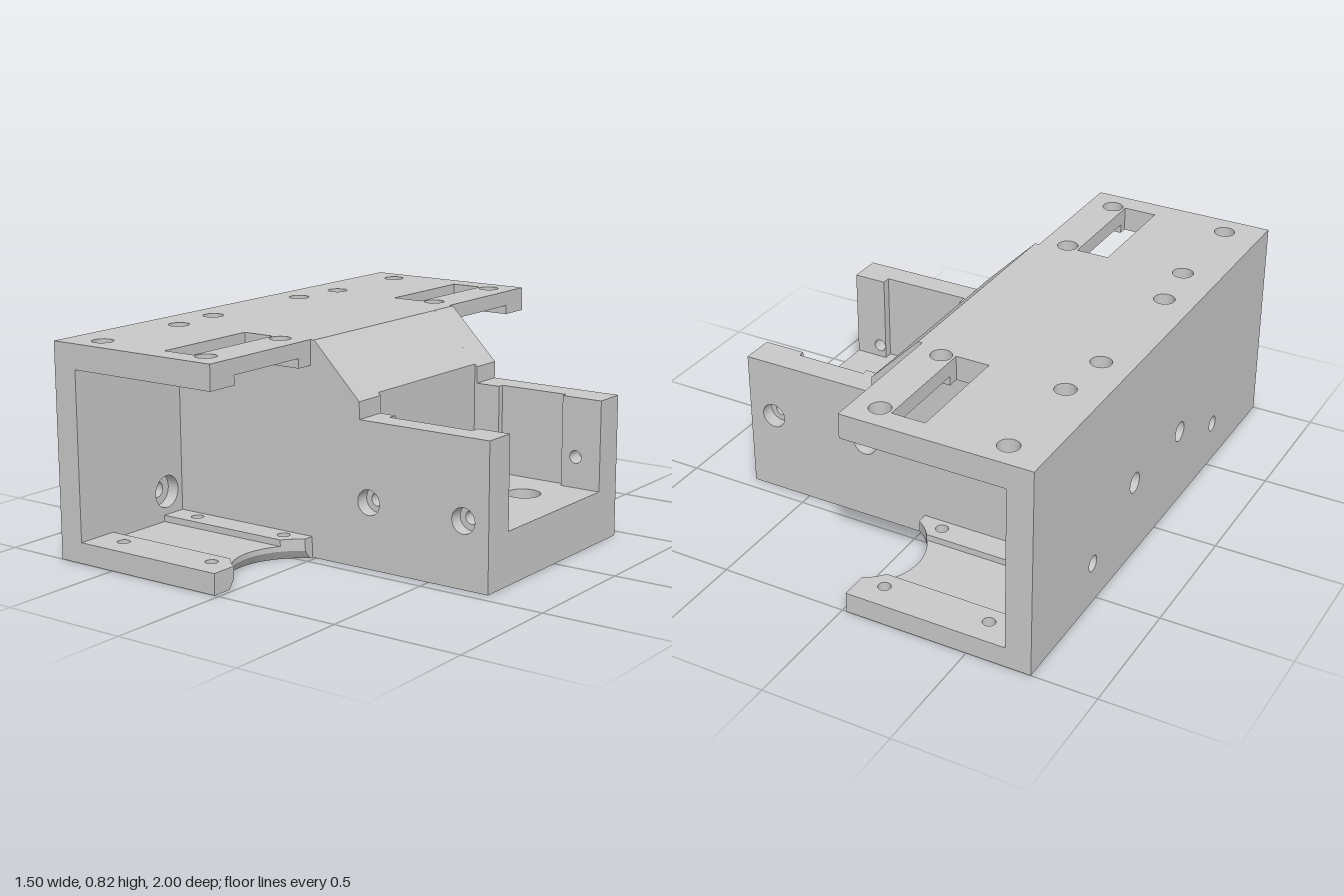
import * as THREE from 'three';

const grey = new THREE.MeshStandardMaterial({ color: 0xc8c8c8 });
grey.name = 'grey plastic';

// plan outlines use (x, z), cross-walls use (z, y), side walls use (x, y);
// a hole is either a circle [u, v, radius] or a list of corners
function slab(name, axis, from, to, outline, holes = []) {
  const su = axis === 'x' ? -1 : 1;
  const sv = axis === 'y' ? -1 : 1;
  const loop = (list) => {
    const pts = list.map(([u, v]) => new THREE.Vector2(u * su, v * sv));
    return THREE.ShapeUtils.isClockWise(pts) ? pts.reverse() : pts;
  };
  const shape = new THREE.Shape(loop(outline));
  for (const h of holes) {
    const path = new THREE.Path();
    if (typeof h[0] === 'number') path.absarc(h[0] * su, h[1] * sv, h[2], 0, Math.PI * 2, false);
    else path.setFromPoints(loop(h));
    shape.holes.push(path);
  }
  const geo = new THREE.ExtrudeGeometry(shape, { depth: to - from, bevelEnabled: false, curveSegments: 16 });
  geo.translate(0, 0, from);
  if (axis === 'y') geo.rotateX(-Math.PI / 2);
  if (axis === 'x') geo.rotateY(Math.PI / 2);
  const mesh = new THREE.Mesh(geo, grey);
  mesh.name = name;
  return mesh;
}

const rect = (u0, u1, v0, v1) => [[u0, v0], [u1, v0], [u1, v1], [u0, v1]];
// closes an outline given for z > 0 by mirroring it in z
const mirrored = (half) => [...half, ...half.map(([x, z]) => [x, -z]).reverse()];
// the same holes at +z and -z
const pairs = (list) => list.flatMap(([x, z, r]) => [[x, z, r], [x, -z, r]]);

const BACK = -0.75, INNER = -0.65, EDGE = -0.017, END = 0.75;
const HALF = 0.449;                 // half width of the centre block and arm
const POCKET = 0.32;                // half width of the arm pocket
const TOP = 0.816, UNDER = 0.721;   // top plate faces
const CX = 0.107, CZ = 0.693;       // centre of the curved cut-outs
const R_LOW = 0.26, R_HIGH = 0.237;

// curved cut-out, walked from the arm outwards; optional channel reaching the back wall
function cutOut(r, channel) {
  const a = Math.acos((CX - EDGE) / r);
  const pts = [];
  for (let i = 0; i <= 20; i++) {
    const t = -a + (2 * a * i) / 20;
    pts.push([CX - r * Math.cos(t), CZ + r * Math.sin(t)]);
  }
  if (!channel) return pts;
  const w = 0.14;
  const x = CX - Math.sqrt(r * r - w * w);
  return [
    ...pts.filter((p) => p[1] < CZ - w), [x, CZ - w], [INNER, CZ - w],
    [INNER, CZ + w], [x, CZ + w], ...pts.filter((p) => p[1] > CZ + w),
  ];
}

const basePlan = (r, channel) => mirrored([
  [END, HALF], [EDGE, HALF], ...cutOut(r, channel), [EDGE, 1], [BACK, 1],
]);

export function createModel() {
  const model = new THREE.Group();
  model.name = 'mountingBracket';
  const add = (...args) => {
    const mesh = slab(...args);
    model.add(mesh);
    return mesh;
  };

  // base plate in layers: flared cut-outs and wide screw recesses below, channels on top
  const screws = (x, r) => pairs([[x, 0.9, r], [x, 0.493, r]]);
  const baseScrews = (r) => [...screws(-0.115, r), ...screws(-0.535, r)];
  const armScrews = (r) => pairs([[0.53, 0.138, r]]);
  const underPocket = rect(-0.155, 0.47, -0.19, 0.19);
  const lower = add('basePlateLower', 'y', 0, 0.035, basePlan(R_LOW),
    [...baseScrews(0.033), ...armScrews(0.03), underPocket]);
  add('basePlateMiddle', 'y', 0.035, 0.055, basePlan(R_HIGH),
    [...baseScrews(0.024), ...armScrews(0.03), underPocket]);
  add('basePlateUpper', 'y', 0.055, 0.08, basePlan(R_HIGH, true),
    [...baseScrews(0.024), ...armScrews(0.03)]);

  // narrow the cut-outs towards the top of the lowest layer
  const pos = lower.geometry.attributes.position;
  const chord = (r) => Math.sqrt(r * r - (CX - EDGE) ** 2);
  const k = chord(R_HIGH) / chord(R_LOW);
  for (let i = 0; i < pos.count; i++) {
    const s = Math.sign(pos.getZ(i));
    const dz = Math.abs(pos.getZ(i)) - CZ;
    if (pos.getY(i) < 0.03 || Math.abs(Math.hypot(pos.getX(i) - CX, dz) - R_LOW) > 1e-4) continue;
    const z = dz * k;
    pos.setX(i, Math.min(EDGE, CX - Math.sqrt(R_HIGH * R_HIGH - z * z)));
    pos.setZ(i, s * (CZ + z));
  }
  lower.geometry.computeVertexNormals();

  // top plate: windows and screw recesses above, wide channels underneath
  const blind = pairs([[-0.63, 0.267, 0.04]]);
  const topScrews = (r) => [...screws(-0.12, r), ...screws(-0.605, r)];
  add('topPlateUpper', 'y', 0.757, TOP, rect(BACK, EDGE, -1, 1), [
    ...topScrews(0.04), ...blind,
    rect(-0.3, -0.17, 0.475, 0.91), rect(-0.3, -0.17, -0.91, -0.475),
  ]);
  const c0 = 0.519, c1 = 0.874;
  add('topPlateLower', 'y', UNDER, 0.757, mirrored([
    [EDGE, c0], [-0.17, c0], [-0.17, 0.475], [-0.3, 0.475], [-0.3, c0], [-0.53, c0],
    [-0.53, c1], [-0.3, c1], [-0.3, 0.91], [-0.17, 0.91], [-0.17, c1], [EDGE, c1],
    [EDGE, 1], [BACK, 1],
  ]), [...topScrews(0.024), ...blind]);

  // back wall with holes recessed from the inside
  const wall = rect(-1, 1, 0.08, UNDER);
  const backHoles = (r) => [[0.535, 0.17, r], [-0.535, 0.17, r], [0.2, 0.315, 0.04], [-0.2, 0.315, 0.04]];
  add('backWallOuter', 'x', BACK, -0.7, wall, backHoles(0.031));
  add('backWallInner', 'x', -0.7, INNER, wall, backHoles(0.063));

  // solid centre block with sloped shoulder; the pocket cuts slightly into its middle
  const core = (front) => [
    [INNER, 0.08], [0.19, 0.08], ...front, [0, TOP], [EDGE, TOP], [EDGE, UNDER], [INNER, UNDER],
  ];
  const shoulder = core([[0.19, 0.55], [0.2, 0.55], [0.2, 0.615]]);
  add('centreBlock', 'z', -POCKET, POCKET, core([[0.19, 0.625]]));
  add('centreBlockFrontSide', 'z', POCKET, HALF, shoulder);
  add('centreBlockBackSide', 'z', -HALF, -POCKET, shoulder);

  // arm floor
  const floor = rect(0.19, END, -HALF, HALF);
  add('armFloorLower', 'y', 0.08, 0.14, floor, armScrews(0.03));
  add('armFloorUpper', 'y', 0.14, 0.2, floor, armScrews(0.065));

  // arm side walls: recessed inner face, bolt holes widened on the outside
  const sides = [
    { name: 'front', s: 1, x0: 0.267, x1: 0.618, z: 0.355, y: 0.25 },
    { name: 'back', s: -1, x0: 0.302, x1: 0.585, z: 0.345, y: 0.32 },
  ];
  for (const { name, s, x0, x1, z, y } of sides) {
    const layer = (part, a, b, u0, u1, holes) =>
      add(name + part, 'z', Math.min(a * s, b * s), Math.max(a * s, b * s), rect(u0, u1, 0.2, 0.55), holes);
    layer('ArmWallOuter', 0.395, HALF, 0.19, END, [[0.24, y, 0.048], [0.645, y, 0.048]]);
    layer('ArmWallMiddle', z, 0.395, 0.19, END, [[0.24, y, 0.025], [0.645, y, 0.025]]);
    layer('ArmWallInnerRib', POCKET, z, 0.19, x0, [[0.24, y, 0.025]]);
    layer('ArmWallEndRib', POCKET, z, x1, END, [[0.645, y, 0.025]]);
  }
  return model;
}
